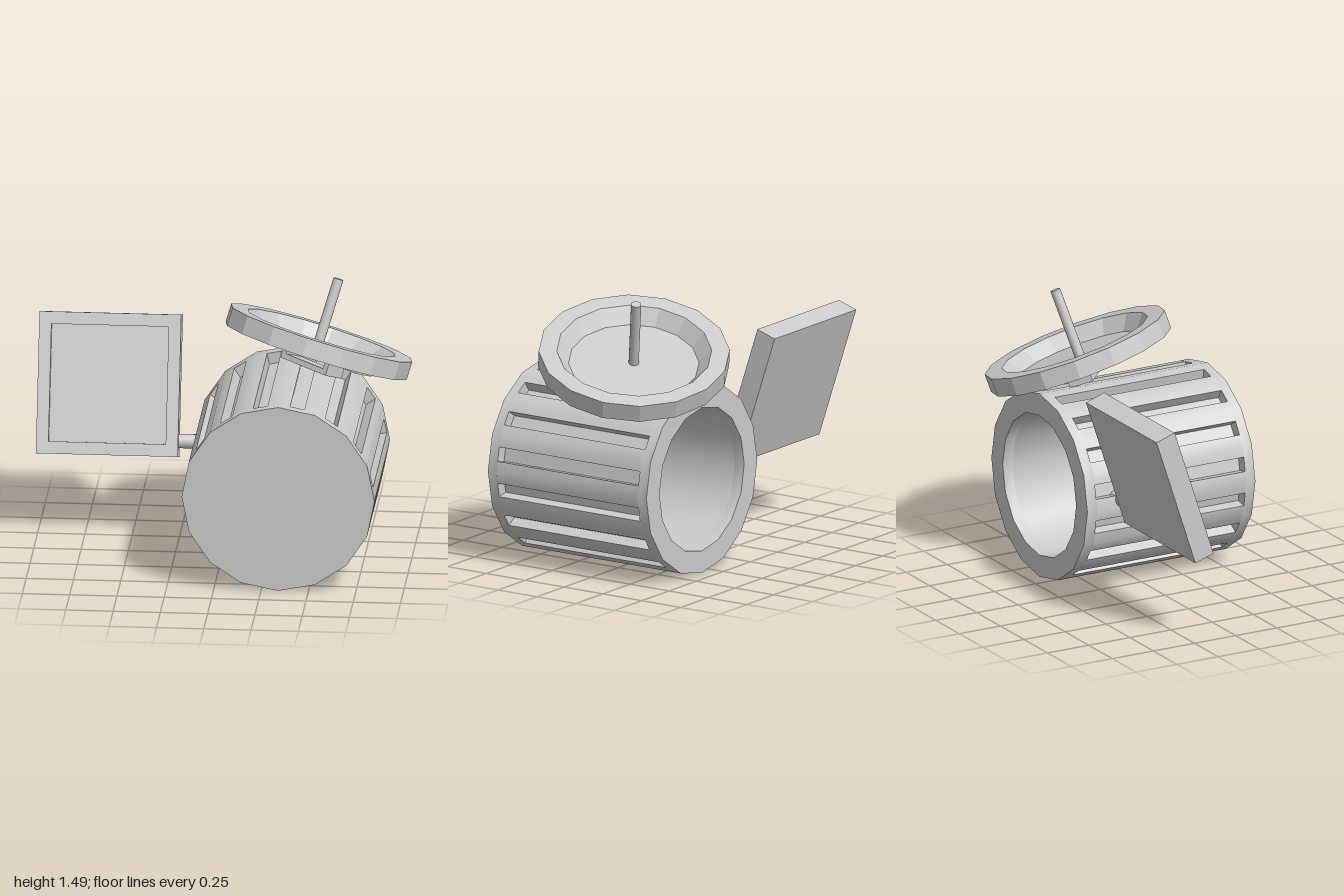
import * as THREE from 'three';
import { toCreasedNormals } from 'three/addons/utils/BufferGeometryUtils.js';

const SIDES = 16;
const STEP = (Math.PI * 2) / SIDES;

const smooth = new THREE.MeshStandardMaterial({ color: 0xcccccc });
const faceted = new THREE.MeshStandardMaterial({ color: 0xcccccc, flatShading: true });

function addMesh(parent, name, geometry, material = smooth) {
  const mesh = new THREE.Mesh(geometry, material);
  mesh.name = name;
  parent.add(mesh);
  return mesh;
}

function polygon(radius) {
  return Array.from({ length: SIDES }, (_, i) =>
    new THREE.Vector2(Math.cos(i * STEP) * radius, Math.sin(i * STEP) * radius));
}

// Polygon outline with one rectangular groove in the middle of every side
function groovedPolygon(radius, width, depth) {
  const apothem = radius * Math.cos(STEP / 2);
  const h = width / 2;
  const points = [];
  polygon(radius).forEach((corner, i) => {
    points.push(corner);
    const a = (i + 0.5) * STEP;
    for (const [r, s] of [[apothem, -h], [apothem - depth, -h], [apothem - depth, h], [apothem, h]]) {
      points.push(new THREE.Vector2(r, s).rotateAround(new THREE.Vector2(), a));
    }
  });
  return points;
}

// Extrudes an outline, with an optional hole, between two z positions
function slab(outline, hole, z0, z1) {
  const shape = new THREE.Shape(outline);
  if (hole) shape.holes.push(new THREE.Path(hole));
  const geometry = new THREE.ExtrudeGeometry(shape, { depth: z1 - z0, bevelEnabled: false });
  geometry.translate(0, 0, z0);
  return toCreasedNormals(geometry, 0.5);
}

function rectangle(w, h) {
  return [[-1, -1], [1, -1], [1, 1], [-1, 1]].map(([x, y]) => new THREE.Vector2(x * w / 2, y * h / 2));
}

// Bin lying on its side, closed at the front and open at the back
function createBin() {
  const bin = new THREE.Group();
  bin.name = 'bin';
  bin.position.set(0.34, 0.515, 0);
  const outer = polygon(0.51);
  const inner = polygon(0.39);
  addMesh(bin, 'binBase', slab(outer, null, 0.54, 0.595));
  addMesh(bin, 'binGroovedWall', slab(groovedPolygon(0.51, 0.077, 0.06), inner, -0.365, 0.54));
  addMesh(bin, 'binRim', slab(outer, inner, -0.425, -0.365));
  return bin;
}

// Tilted lid: dished disc, rod in the dish, strap handle underneath
function createLid() {
  const lid = new THREE.Group();
  lid.name = 'lid';
  const up = new THREE.Vector3(0.277, 0.933, -0.235).normalize();
  const along = new THREE.Vector3(0.555, -0.045, 0.475).projectOnPlane(up).normalize();
  const across = new THREE.Vector3().crossVectors(along, up);
  lid.quaternion.setFromRotationMatrix(new THREE.Matrix4().makeBasis(along, up, across));
  lid.position.set(0.5, 1.16, -0.1);

  const profile = [[0, -0.05], [0.505, -0.05], [0.505, 0.05], [0.41, 0.05], [0.345, -0.03], [0, -0.03]]
    .map(([r, y]) => new THREE.Vector2(r, y));
  addMesh(lid, 'lidDish', new THREE.LatheGeometry(profile, SIDES, STEP / 2), faceted);

  const rod = addMesh(lid, 'lidRod', new THREE.CylinderGeometry(0.027, 0.027, 0.39, 16));
  rod.position.y = 0.155;

  // Hat-shaped strap section
  const half = [[0.366, -0.045], [0.366, -0.075], [0.168, -0.075], [0.168, -0.145]];
  const top = [[0.138, -0.115], [0.138, -0.045]];
  const right = [...top, ...half.slice(0, 1)];
  const strap = [
    ...half.map(([x, y]) => [-x, y]),
    ...half.slice().reverse(),
    ...right.slice(0, 2).reverse(),
    ...top.map(([x, y]) => [-x, y]),
  ].map(([x, y]) => new THREE.Vector2(x, y));
  addMesh(lid, 'lidHandle', slab(strap, null, -0.065, 0.065));
  return lid;
}

// Leaning square panel with a shallow recess in its front
function createPanel() {
  const panel = new THREE.Group();
  panel.name = 'panel';
  panel.position.set(-0.625, 0.825, -0.3075);
  panel.rotation.x = -0.32;
  const size = 0.75, half = 0.058, recess = 0.032;
  addMesh(panel, 'panelFrame', slab(rectangle(size, size), rectangle(0.62, 0.62), half - recess, half));
  addMesh(panel, 'panelBack', slab(rectangle(size, size), null, -half, half - recess));
  return panel;
}

export function createModel() {
  const model = new THREE.Group();
  model.name = 'binWithLidAndPanel';
  model.add(createBin(), createLid(), createPanel());

  // Peg joining the panel to the bin
  const peg = addMesh(model, 'panelPeg', new THREE.CylinderGeometry(0.038, 0.038, 0.2, 16));
  peg.rotation.z = Math.PI / 2;
  peg.position.set(-0.2, 0.55, -0.213);
  return model;
}
